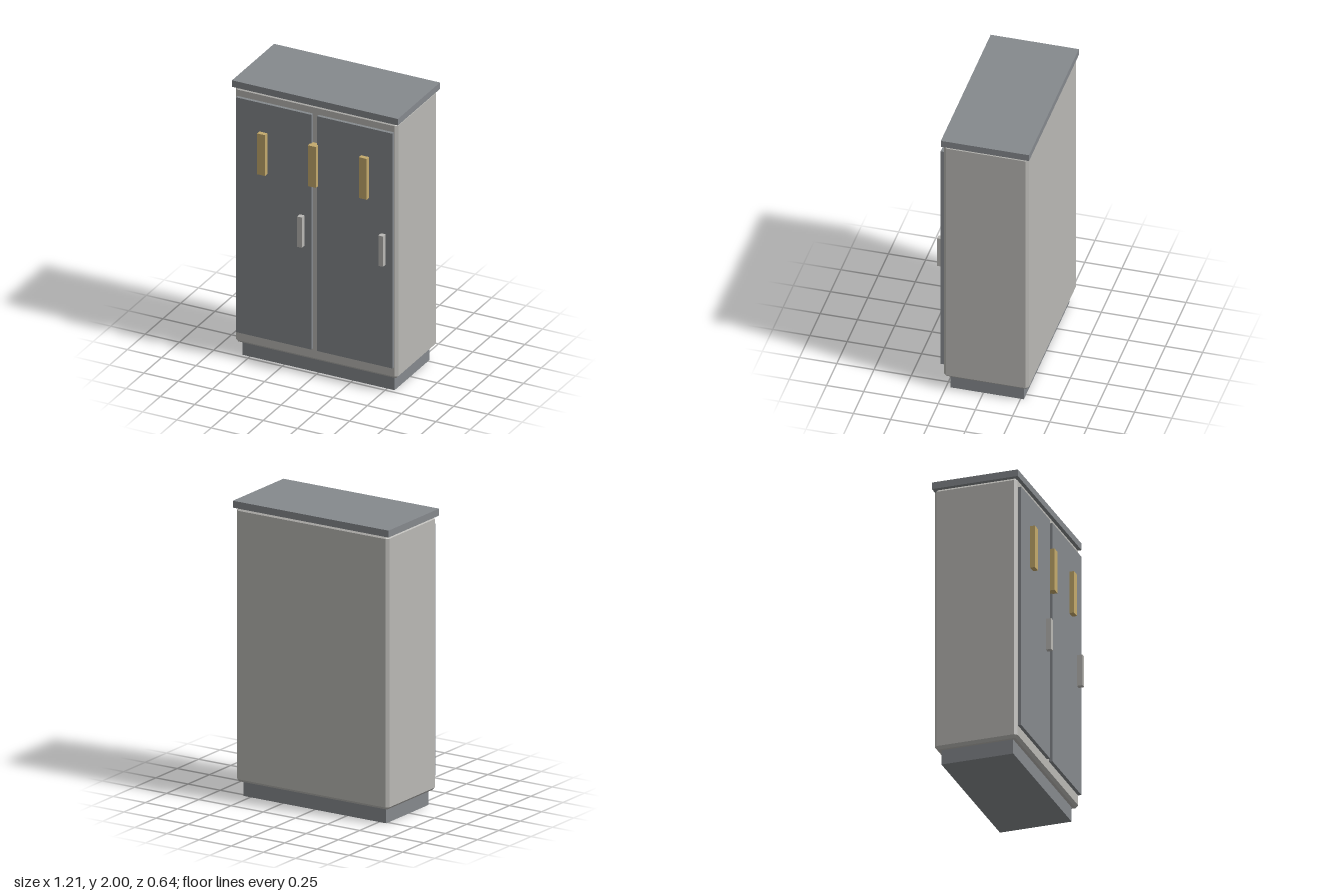
import * as THREE from 'three';
import { ConvexGeometry } from 'three/addons/geometries/ConvexGeometry.js';

function material(name, color) {
  const m = new THREE.MeshStandardMaterial({ color });
  m.name = name;
  return m;
}

// Box with every edge cut by a flat bevel of size c
function chamferedBox(w, h, d, c) {
  const points = [];
  for (const sx of [-1, 1]) for (const sy of [-1, 1]) for (const sz of [-1, 1]) {
    for (let axis = 0; axis < 3; axis++) {
      const half = [w / 2, h / 2, d / 2].map((v, i) => (i === axis ? v : v - c));
      points.push(new THREE.Vector3(sx * half[0], sy * half[1], sz * half[2]));
    }
  }
  return new ConvexGeometry(points);
}

export function createModel() {
  const group = new THREE.Group();
  group.name = 'cabinet';

  const lightGrey = material('light grey', 0xb9b8b4);
  const slate = material('slate grey', 0x85898d);
  const brass = material('brass', 0xc4aa6c);

  const add = (name, geometry, mat, x, y, z) => {
    const mesh = new THREE.Mesh(geometry, mat);
    mesh.name = name;
    mesh.position.set(x, y, z);
    group.add(mesh);
  };
  // Box given by its lower and upper limits on each axis
  const box = (name, mat, [x0, x1], [y0, y1], [z0, z1]) =>
    add(name, new THREE.BoxGeometry(x1 - x0, y1 - y0, z1 - z0), mat,
      (x0 + x1) / 2, (y0 + y1) / 2, (z0 + z1) / 2);

  // Carcass, base and top
  add('body', chamferedBox(1.184, 1.852, 0.57, 0.018), lightGrey, 0, 1.027, -0.025);
  box('plinth', slate, [-0.555, 0.555], [0, 0.104], [-0.272, 0.222]);
  box('topSlab', slate, [-0.605, 0.605], [1.953, 2], [-0.32, 0.272]);

  // Two doors, each with a pull handle near its model-left edge
  for (const [side, x0] of [['right', -0.571], ['left', 0.021]]) {
    box(side + 'Door', slate, [x0, x0 + 0.55], [0.188, 1.89], [0.25, 0.283]);
    box(side + 'Handle', lightGrey, [x0 + 0.466, x0 + 0.5], [0.93, 1.15], [0.278, 0.32]);
  }

  // Row of three brass plates across the upper front
  for (const [side, x] of [['right', -0.371], ['centre', 0], ['left', 0.371]]) {
    box(side + 'Plate', brass, [x - 0.029, x + 0.029], [1.386, 1.682], [0.255, 0.315]);
  }

  return group;
}
